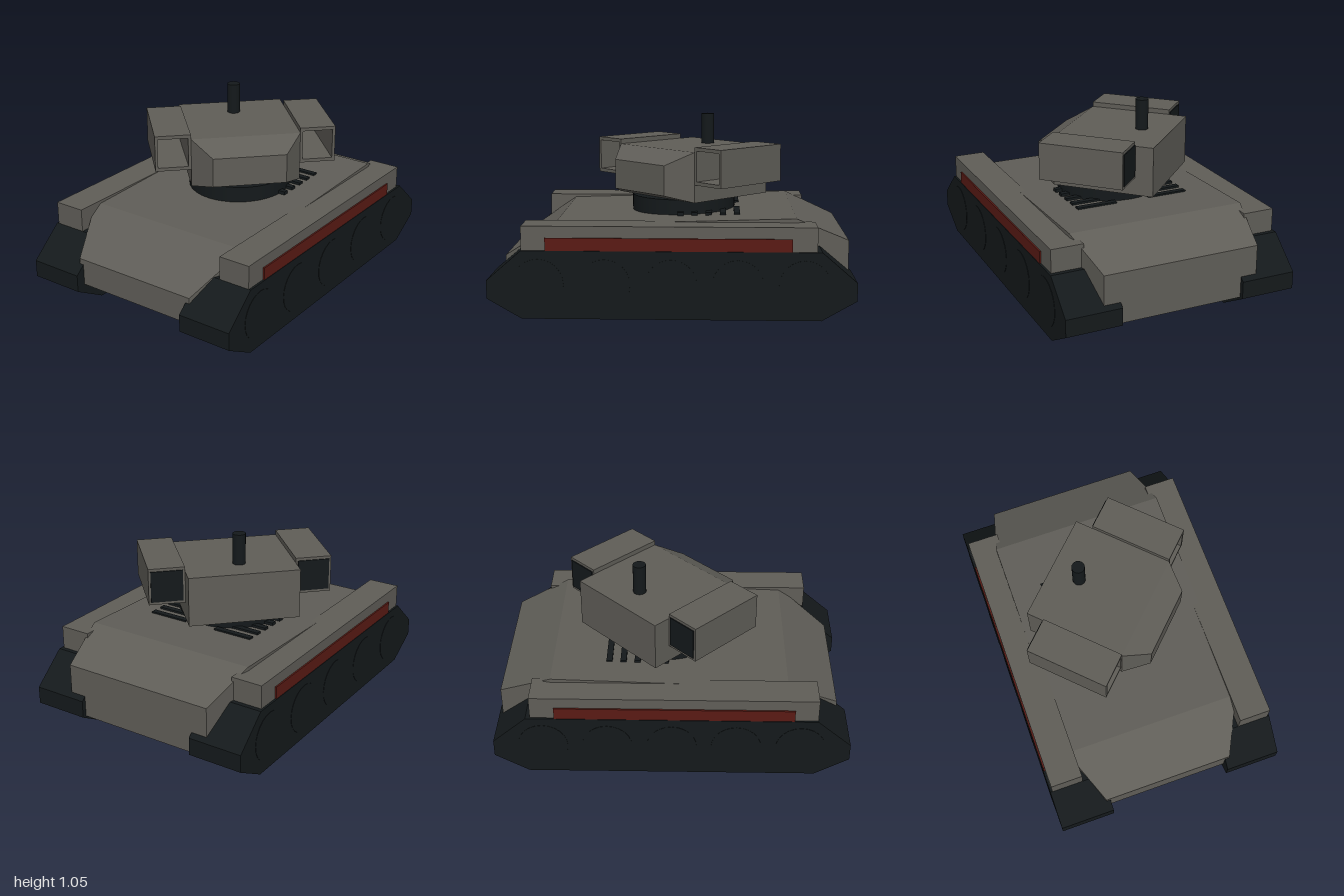
import * as THREE from 'three';

const mat = (color, flatShading = true) => new THREE.MeshStandardMaterial({ color, flatShading });
const armour = mat(0x5f5d57);
const dark = mat(0x14191b);
const darkSmooth = mat(0x14191b, false);
const red = mat(0x5a1a14);

function add(parent, name, geometry, material, x = 0, y = 0, z = 0) {
  const mesh = new THREE.Mesh(geometry, material);
  mesh.name = name;
  mesh.position.set(x, y, z);
  parent.add(mesh);
  return mesh;
}

// Box given by its limits on each axis
function block(parent, name, material, [x0, x1], [y0, y1], [z0, z1]) {
  return add(parent, name, new THREE.BoxGeometry(x1 - x0, y1 - y0, z1 - z0), material,
    (x0 + x1) / 2, (y0 + y1) / 2, (z0 + z1) / 2);
}

// Closed body through rectangular sections [z, halfWidth, bottom, top], back to front
function loft(sections) {
  const pos = [], index = [];
  for (const [z, w, y0, y1] of sections) pos.push(-w, y0, z, w, y0, z, w, y1, z, -w, y1, z);
  const n = sections.length;
  for (let s = 0; s < n - 1; s++) {
    for (let k = 0; k < 4; k++) {
      const a = s * 4 + k, b = s * 4 + (k + 1) % 4;
      index.push(a, b, b + 4, a, b + 4, a + 4);
    }
  }
  const f = (n - 1) * 4;
  index.push(0, 2, 1, 0, 3, 2, f, f + 1, f + 2, f, f + 2, f + 3);
  const g = new THREE.BufferGeometry();
  g.setAttribute('position', new THREE.Float32BufferAttribute(pos, 3));
  g.setIndex(index);
  const flat = g.toNonIndexed();
  flat.computeVertexNormals();
  return flat;
}

// Side outline of a track, extruded across its width
function trackGeometry(width) {
  const outline = [[1, 0.11], [1, 0.21], [0.81, 0.375], [-0.81, 0.375],
    [-1, 0.21], [-1, 0.11], [-0.81, 0], [0.81, 0]];
  const shape = new THREE.Shape(outline.map(([z, y]) => new THREE.Vector2(z, y)));
  const g = new THREE.ExtrudeGeometry(shape, { depth: width, bevelEnabled: false });
  return g.translate(0, 0, -width / 2).rotateY(-Math.PI / 2);
}

// Open rectangular launcher tube along z
function podGeometry(w, h, length) {
  const rect = (Type, a, b) => new Type([[-a, -b], [a, -b], [a, b], [-a, b]]
    .map(([x, y]) => new THREE.Vector2(x, y)));
  const shape = rect(THREE.Shape, w / 2, h / 2);
  shape.holes.push(rect(THREE.Path, w / 2 - 0.016, h / 2 - 0.02));
  return new THREE.ExtrudeGeometry(shape, { depth: length, bevelEnabled: false });
}

export function createModel() {
  const model = new THREE.Group();
  model.name = 'tank';

  // Hull: sloped rear, rising deck, tapered glacis
  add(model, 'hull', loft([
    [-0.975, 0.455, 0.11, 0.4],
    [-0.68, 0.52, 0.114, 0.53],
    [0.65, 0.52, 0.131, 0.49],
    [0.945, 0.385, 0.135, 0.29],
  ]), armour);

  for (const [side, label] of [[1, 'left'], [-1, 'right']]) {
    const span = (a, b) => (side > 0 ? [a, b] : [-b, -a]);

    // Track, wheels, fender and side stripe
    add(model, label + 'Track', trackGeometry(0.32), dark, side * 0.52);
    for (let i = -2; i <= 2; i++) {
      const wheel = add(model, label + 'Wheel', new THREE.CylinderGeometry(0.14, 0.14, 0.02, 24),
        darkSmooth, side * 0.672, 0.19, i * 0.36);
      wheel.rotation.z = Math.PI / 2;
    }
    block(model, label + 'Fender', armour, span(0.483, 0.668), [0.37, 0.508], [-0.785, 0.81]);
    block(model, label + 'Stripe', red, span(0.6, 0.677), [0.372, 0.445], [-0.65, 0.68]);

    // Deck vents
    for (let i = 0; i < 5; i++) {
      const z = -0.36 + i * 0.08;
      block(model, label + 'Vent', dark, span(0.1, 0.337), [0.5, 0.53], [z - 0.017, z + 0.017]);
    }
  }

  // Turret ring and antenna
  add(model, 'turretRing', new THREE.CylinderGeometry(0.3, 0.3, 0.1, 32), darkSmooth, 0, 0.545, -0.05);
  add(model, 'antenna', new THREE.CylinderGeometry(0.037, 0.037, 0.2, 20), darkSmooth, -0.145, 0.952, -0.19);

  // Turret turned towards its left
  const turret = new THREE.Group();
  turret.name = 'turret';
  turret.position.set(0, 0, -0.05);
  turret.rotation.y = Math.PI / 4;
  model.add(turret);
  add(turret, 'turretBody', loft([
    [-0.375, 0.315, 0.59, 0.875],
    [0.215, 0.315, 0.59, 0.875],
    [0.35, 0.21, 0.632, 0.802],
  ]), armour);

  // Launcher pods with a dark rear panel
  for (const [side, label] of [[1, 'left'], [-1, 'right']]) {
    add(turret, label + 'Pod', podGeometry(0.205, 0.212, 0.485), armour, side * 0.4175, 0.797, -0.27);
    add(turret, label + 'PodRearPanel', new THREE.BoxGeometry(0.18, 0.18, 0.03), dark,
      side * 0.4175, 0.797, -0.261);
  }
  return model;
}
